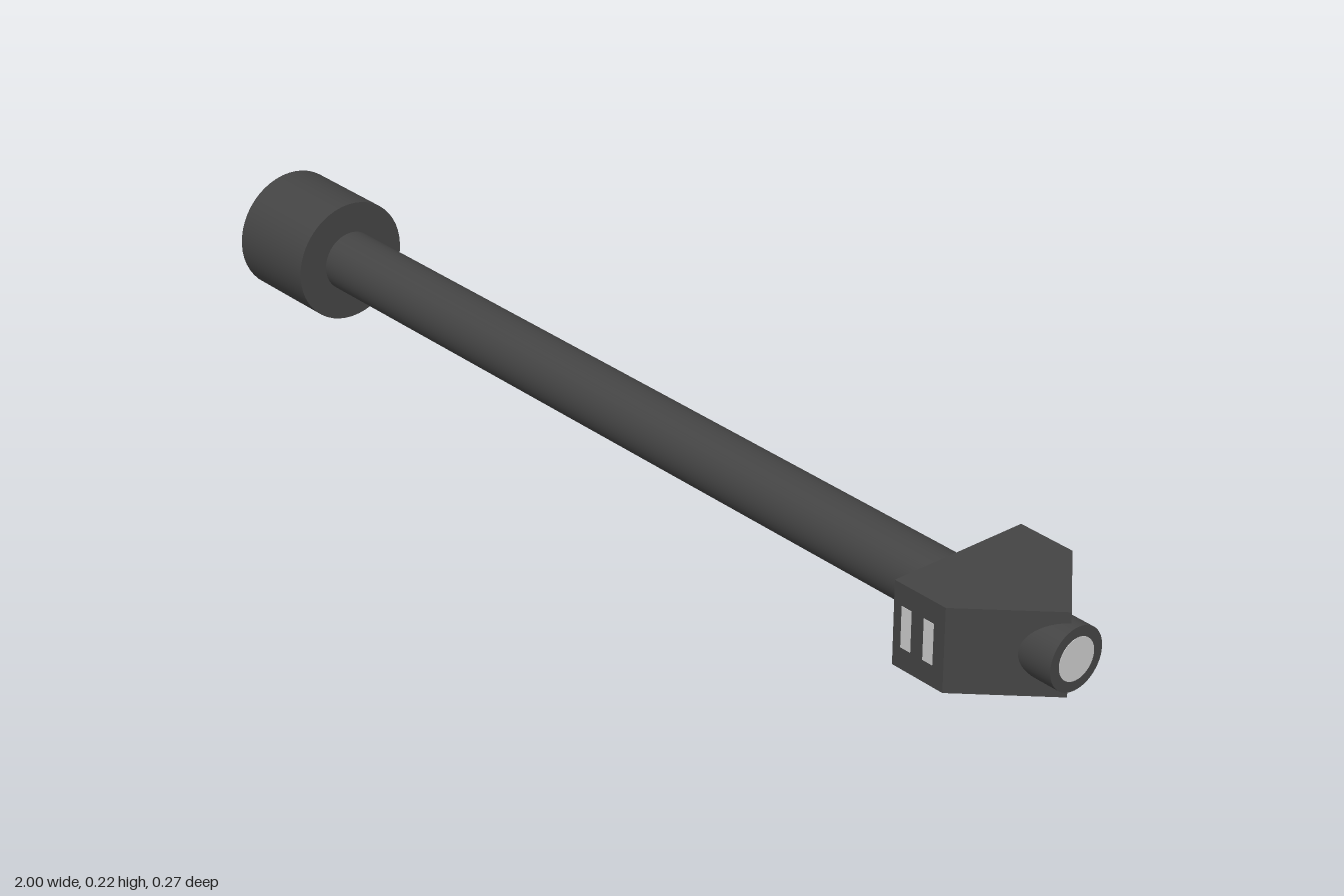
import * as THREE from 'three';

const AXIS_Y = 0.111;

export function createModel() {
  const model = new THREE.Group();
  const dark = new THREE.MeshStandardMaterial({ color: 0x444444 });
  const grey = new THREE.MeshStandardMaterial({ color: 0xcccccc });

  const add = (name, geometry, material) => {
    const mesh = new THREE.Mesh(geometry, material);
    mesh.name = name;
    model.add(mesh);
    return mesh;
  };

  // Cylinder lying along x between two x positions
  const rod = (name, radius, x0, x1, material) => {
    const g = new THREE.CylinderGeometry(radius, radius, x1 - x0, 48);
    g.rotateZ(-Math.PI / 2);
    g.translate((x0 + x1) / 2, AXIS_Y, 0);
    return add(name, g, material);
  };

  rod('breechCollar', 0.111, -1, -0.818, dark);
  rod('barrel', 0.055, -0.83, 0.999, dark);
  rod('bore', 0.037, 0.98, 1, grey);

  // Wedge-shaped muzzle brake, pointed towards the muzzle
  const outline = new THREE.Shape([
    [0.745, -0.134], [0.855, -0.134], [0.985, 0], [0.855, 0.134], [0.745, 0.134],
  ].map(([x, z]) => new THREE.Vector2(x, z)));
  const brake = new THREE.ExtrudeGeometry(outline, { depth: 0.148, bevelEnabled: false });
  brake.rotateX(-Math.PI / 2);
  brake.translate(0, AXIS_Y - 0.074, 0);
  add('muzzleBrake', brake, dark);

  // Two gas ports on each side of the brake
  for (const side of [-1, 1]) {
    for (const x of [0.773, 0.821]) {
      const port = add('gasPort', new THREE.BoxGeometry(0.021, 0.072, 0.01), grey);
      port.position.set(x, AXIS_Y, side * 0.13);
    }
  }

  return model;
}
